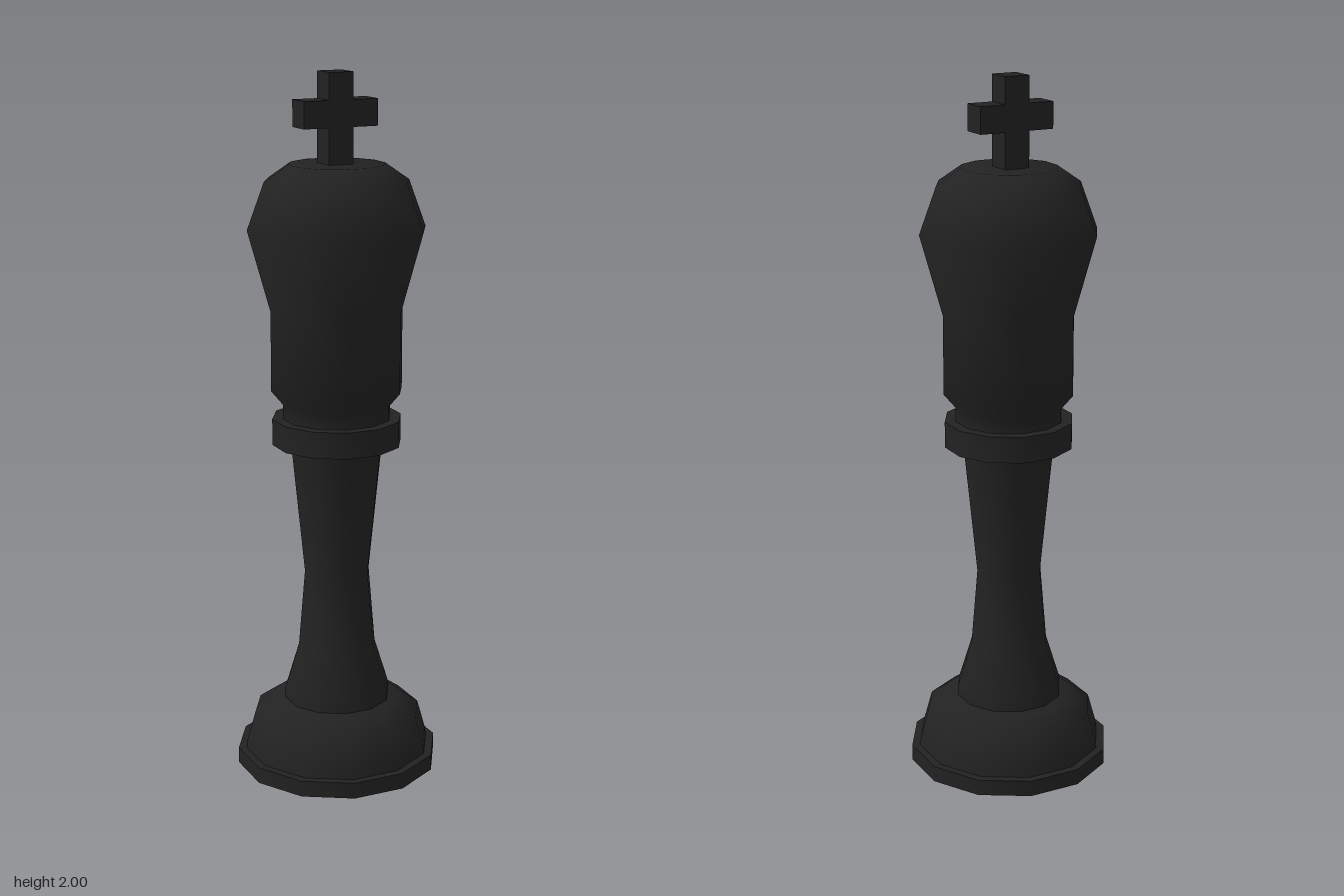
import * as THREE from 'three';
import { toCreasedNormals } from 'three/addons/utils/BufferGeometryUtils.js';

const SIDES = 12;
const material = new THREE.MeshStandardMaterial({ color: 0x222222 });

// Twelve-sided turned part; profile is [flat-to-centre distance, height] from bottom to top
function turned(name, profile) {
  const points = profile.map(([r, y]) => new THREE.Vector2(r / Math.cos(Math.PI / SIDES), y));
  const lathe = new THREE.LatheGeometry(points, SIDES, Math.PI / SIDES);
  const mesh = new THREE.Mesh(toCreasedNormals(lathe, 0.95), material);
  mesh.name = name;
  return mesh;
}

function block(name, w, h, d, x, y) {
  const mesh = new THREE.Mesh(new THREE.BoxGeometry(w, h, d), material);
  mesh.name = name;
  mesh.position.set(x, y, 0);
  return mesh;
}

export function createModel() {
  const king = new THREE.Group();
  king.name = 'chessKing';

  king.add(
    turned('basePlate', [[0, 0], [0.282, 0], [0.282, 0.047], [0, 0.047]]),
    turned('baseDome', [[0.26, 0.047], [0.257, 0.07], [0.234, 0.155], [0.175, 0.198], [0, 0.198]]),
    turned('stem', [[0.148, 0.19], [0.148, 0.225], [0.108, 0.36], [0.09, 0.585], [0.127, 0.97]]),
    turned('collar', [[0, 0.965], [0.178, 0.965], [0.178, 1.04], [0, 1.04]]),
    turned('head', [
      [0.148, 1.035], [0.148, 1.08], [0.18, 1.12], [0.18, 1.347],
      [0.241, 1.575], [0.195, 1.705], [0.13, 1.752], [0, 1.752],
    ]),
  );

  // Cross finial, turned very slightly off the axis
  const cross = new THREE.Group();
  cross.name = 'cross';
  cross.add(block('crossPost', 0.074, 0.26, 0.074, 0, 1.87));
  for (const side of [-1, 1]) {
    cross.add(block(side > 0 ? 'leftArm' : 'rightArm', 0.074, 0.074, 0.074, side * 0.074, 1.889));
  }
  cross.position.set(-0.002, 0, -0.006);
  cross.rotation.y = 0.022;
  king.add(cross);

  return king;
}
